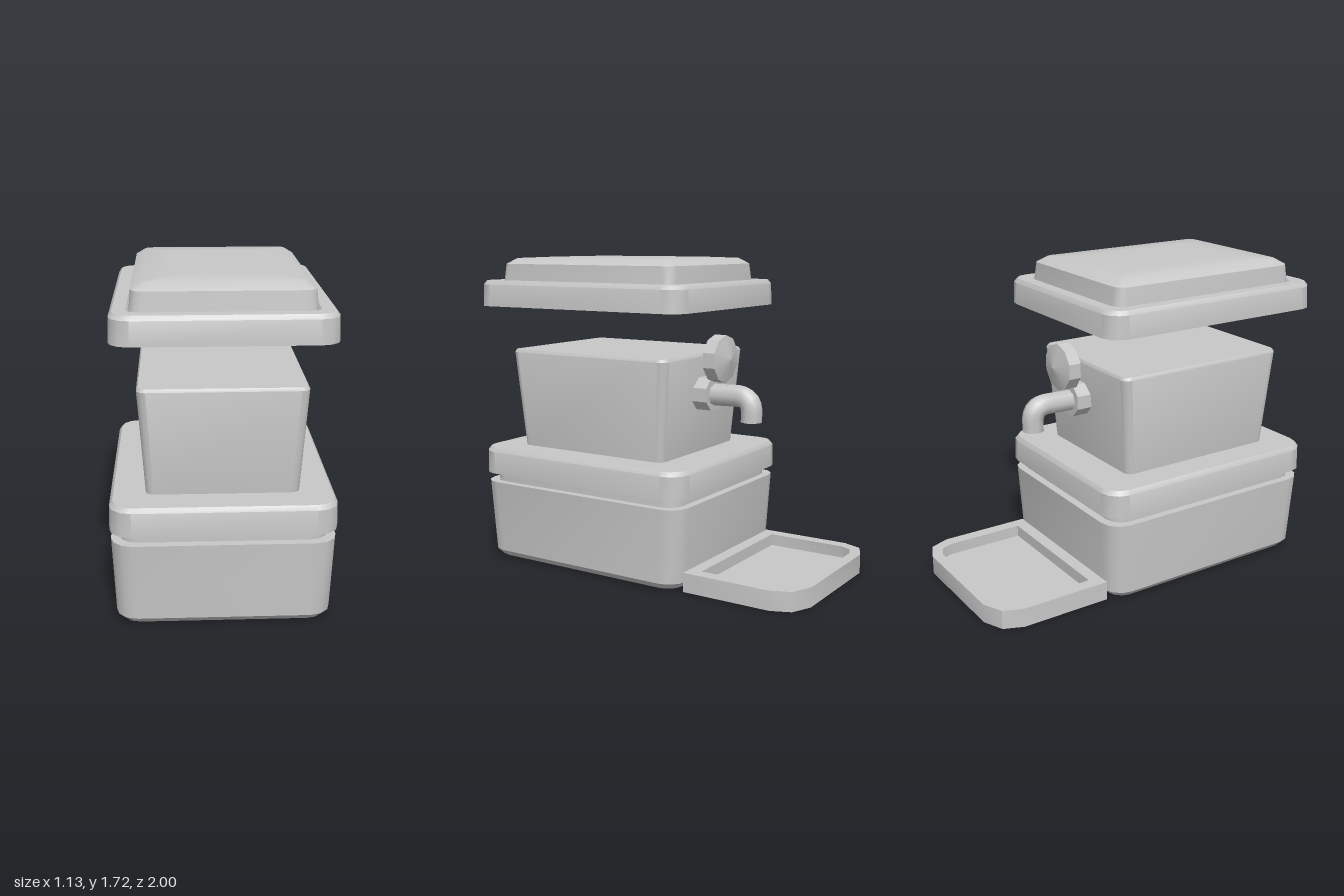
import * as THREE from 'three';
import { toCreasedNormals } from 'three/addons/utils/BufferGeometryUtils.js';

const grey = new THREE.MeshStandardMaterial({ color: 0xc8c8c8, side: THREE.DoubleSide });
grey.name = 'plain grey';

function add(parent, name, geometry, crease = 0.6) {
  const mesh = new THREE.Mesh(toCreasedNormals(geometry, crease), grey);
  mesh.name = name;
  parent.add(mesh);
  return mesh;
}

// One rounded-rectangle outline at height y, running from +x towards +z
function ring([hx, hz, y, r], cz) {
  const points = [], steps = 3;
  [[1, 1], [-1, 1], [-1, -1], [1, -1]].forEach(([sx, sz], q) => {
    for (let i = 0; i <= steps; i++) {
      const a = (q + i / steps) * Math.PI / 2;
      points.push([sx * (hx - r) + r * Math.cos(a), y, cz + sz * (hz - r) + r * Math.sin(a)]);
    }
  });
  return points;
}

// Shell through rings [halfX, halfZ, y, cornerRadius], optionally closed at the top
function shell(rings, cz, closed) {
  const loops = rings.map(s => ring(s, cz));
  const n = loops[0].length, positions = loops.flat(2), index = [];
  for (let k = 0; k < loops.length - 1; k++) {
    for (let i = 0; i < n; i++) {
      const j = (i + 1) % n, a = k * n + i, b = k * n + j;
      index.push(a, a + n, b, b, a + n, b + n);
    }
  }
  if (closed) {
    const last = (loops.length - 1) * n, centre = loops.length * n;
    positions.push(0, rings[rings.length - 1][2], cz);
    for (let i = 0; i < n; i++) index.push(centre, last + (i + 1) % n, last + i);
  }
  const g = new THREE.BufferGeometry();
  g.setAttribute('position', new THREE.Float32BufferAttribute(positions, 3));
  g.setIndex(index);
  return g;
}

// Tray outline with cut rear corners; shape y becomes -z
function trayOutline(Type, hx, front, back, cx, cy) {
  const half = [[hx, front], [hx, back - cy], [hx - cx * 0.28, back - cy * 0.32], [hx - cx, back]];
  const mirrored = half.map(([x, y]) => [-x, y]).reverse();
  return new Type([...half, ...mirrored].map(p => new THREE.Vector2(...p)));
}

function slab(shape, depth) {
  return new THREE.ExtrudeGeometry(shape, { depth, bevelEnabled: false }).rotateX(-Math.PI / 2);
}

export function createModel() {
  const model = new THREE.Group();
  model.name = 'dispenser';

  // Hollow base with a recessed neck
  add(model, 'base', shell([
    [0.508, 0.612, 0.01, 0.09], [0.54, 0.645, 0.045, 0.11],
    [0.557, 0.667, 0.45, 0.11], [0.515, 0.622, 0.45, 0.09], [0.515, 0.622, 0.5, 0.09],
  ], 0.307));

  // Rim and deck above the neck
  add(model, 'rim', shell([
    [0.515, 0.622, 0.5, 0.09], [0.563, 0.675, 0.5, 0.11],
    [0.561, 0.673, 0.625, 0.11], [0.545, 0.657, 0.648, 0.1],
  ], 0.307, true));

  // Flared tank
  add(model, 'tank', shell([
    [0.383, 0.475, 0.648, 0.04], [0.419, 0.52, 1.187, 0.045], [0.41, 0.511, 1.203, 0.04],
  ], 0.326, true));

  // Open-bottomed lid with a raised panel
  add(model, 'lid', shell([
    [0.515, 0.65, 1.45, 0.09], [0.54, 0.675, 1.45, 0.1], [0.536, 0.671, 1.57, 0.1],
    [0.52, 0.655, 1.592, 0.09], [0.455, 0.588, 1.592, 0.06], [0.443, 0.576, 1.577, 0.055],
    [0.433, 0.565, 1.683, 0.055], [0.385, 0.515, 1.715, 0.04], [0.25, 0.36, 1.722, 0.03],
  ], 0.322, true));

  // Drip tray
  const tray = new THREE.Group();
  tray.name = 'dripTray';
  const wall = trayOutline(THREE.Shape, 0.47, 0.34, 1.0, 0.155, 0.155);
  wall.holes.push(trayOutline(THREE.Path, 0.4, 0.412, 0.94, 0.09, 0.09));
  add(tray, 'trayWall', slab(wall, 0.105));
  add(tray, 'trayFloor', slab(trayOutline(THREE.Shape, 0.468, 0.342, 0.998, 0.155, 0.155), 0.04));
  model.add(tray);

  // Tap: flange, bent spout and round handle
  const tap = new THREE.Group();
  tap.name = 'tap';
  tap.position.x = 0.025;
  const flange = new THREE.CylinderGeometry(0.096, 0.096, 0.1, 8).rotateY(Math.PI / 8).rotateX(Math.PI / 2);
  add(tap, 'flange', flange).position.set(0, 0.985, -0.213);

  const bend = new THREE.CurvePath();
  const v = (y, z) => new THREE.Vector3(0, y, z);
  bend.add(new THREE.LineCurve3(v(0.98, -0.24), v(0.985, -0.41)));
  bend.add(new THREE.QuadraticBezierCurve3(v(0.985, -0.41), v(0.985, -0.492), v(0.91, -0.494)));
  bend.add(new THREE.LineCurve3(v(0.91, -0.494), v(0.85, -0.494)));
  add(tap, 'spout', new THREE.TubeGeometry(bend, 16, 0.06, 8), 0.9);
  add(tap, 'spoutEnd', new THREE.CircleGeometry(0.06, 8).rotateX(Math.PI / 2)).position.set(0, 0.851, -0.494);

  const profile = [[0, 0], [0.13, 0], [0.13, 0.07], [0, 0.103]].map(p => new THREE.Vector2(...p));
  const handle = new THREE.LatheGeometry(profile, 10).rotateX(-Math.PI / 2);
  add(tap, 'handle', handle, 0.2).position.set(0, 1.18, -0.263);
  model.add(tap);

  return model;
}
